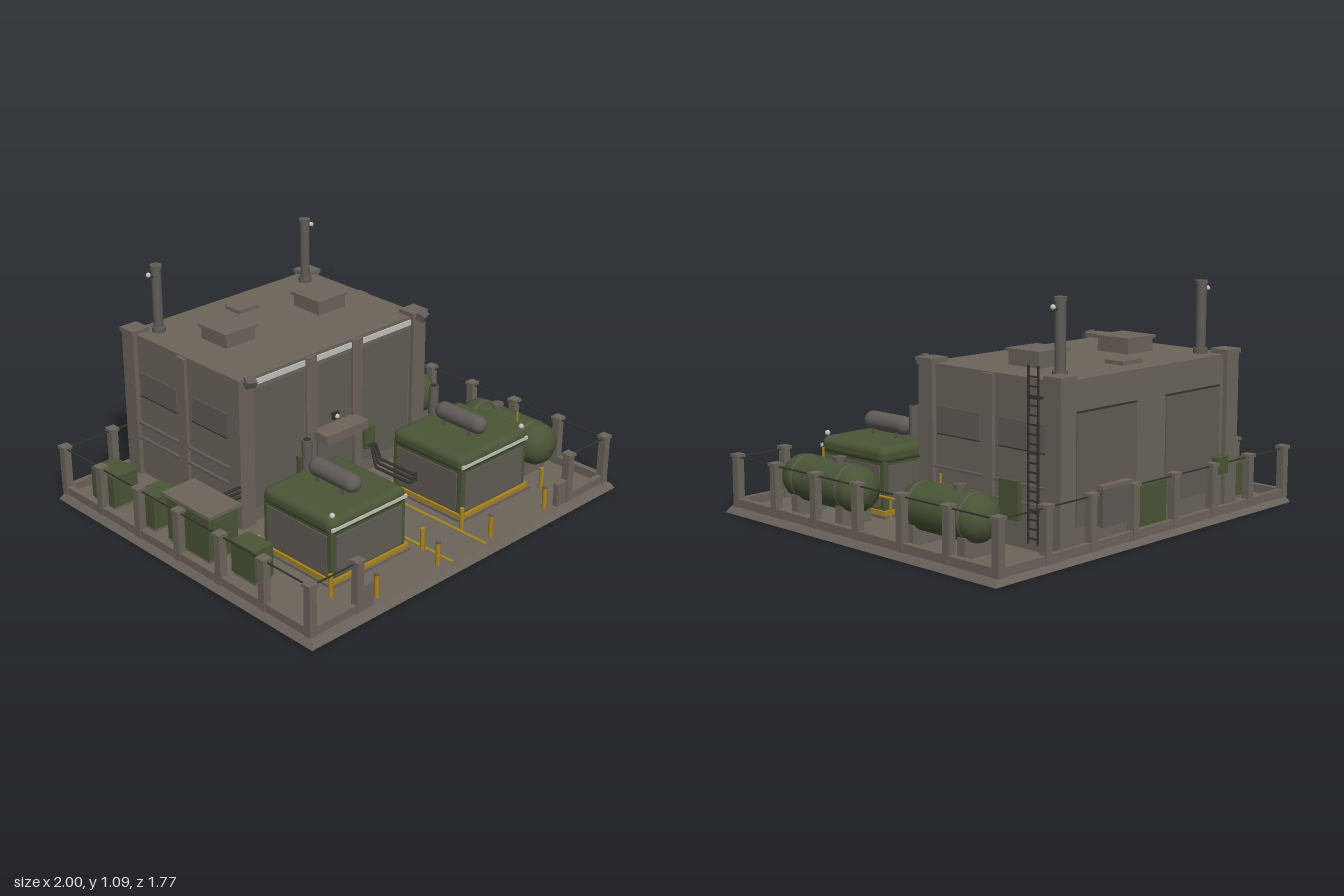
import * as THREE from 'three';
import { RoundedBoxGeometry } from 'three/addons/geometries/RoundedBoxGeometry.js';

const mat = (name, color) => Object.assign(new THREE.MeshStandardMaterial({ color }), { name });
const concrete = mat('concrete', 0x6b645b);
const panel = mat('panel grey', 0x625c55);
const steel = mat('steel', 0x605b55);
const dark = mat('dark metal', 0x35332f);
const green = mat('olive green', 0x4a5536);
const yellow = mat('safety yellow', 0xa88420);
const light = mat('light grey', 0xc2c2bd);

export function createModel() {
  const root = new THREE.Group();
  root.name = 'generatorStation';

  const add = (name, geo, m, parent = root) => {
    const mesh = new THREE.Mesh(geo, m);
    mesh.name = name;
    parent.add(mesh);
    return mesh;
  };
  // Box given by its limits on each axis
  const box = (name, m, x0, x1, y0, y1, z0, z1, parent) => {
    const mesh = add(name, new THREE.BoxGeometry(x1 - x0, y1 - y0, z1 - z0), m, parent);
    mesh.position.set((x0 + x1) / 2, (y0 + y1) / 2, (z0 + z1) / 2);
    return mesh;
  };
  // Box mirrored to both sides of x = 0
  const pair = (name, m, x0, x1, y0, y1, z0, z1) => {
    box(name, m, x0, x1, y0, y1, z0, z1);
    box(name, m, -x1, -x0, y0, y1, z0, z1);
  };
  const cyl = (name, m, r, x, y0, y1, z, parent, seg = 16) => {
    const mesh = add(name, new THREE.CylinderGeometry(r, r, y1 - y0, seg), m, parent);
    mesh.position.set(x, (y0 + y1) / 2, z);
    return mesh;
  };
  const ball = (name, m, r, x, y, z, parent) =>
    add(name, new THREE.SphereGeometry(r, 12, 8), m, parent).position.set(x, y, z);
  // Pipe with straight runs between points
  const pipe = (name, m, r, pts) => {
    const path = new THREE.CurvePath();
    const v = pts.map(p => new THREE.Vector3(...p));
    for (let i = 1; i < v.length; i++) path.add(new THREE.LineCurve3(v[i - 1], v[i]));
    add(name, new THREE.TubeGeometry(path, 12 * (v.length - 1), r, 8), m);
  };

  // Base slab with sloping edge
  const slab = new THREE.BoxGeometry(2, 0.03, 1.77);
  const sp = slab.attributes.position;
  for (let i = 0; i < sp.count; i++) {
    if (sp.getY(i) > 0) sp.setXYZ(i, sp.getX(i) * 0.98, sp.getY(i), sp.getZ(i) * 0.98);
  }
  slab.computeVertexNormals();
  add('baseSlab', slab, concrete).position.y = 0.015;
  pair('laneStripe', yellow, 0.104, 0.119, 0.03, 0.034, 0.06, 0.84);

  // Perimeter fence: kerbs, posts and wires
  const post = (x, z) => {
    box('fencePost', concrete, x - 0.019, x + 0.019, 0.03, 0.27, z - 0.019, z + 0.019);
    box('fencePostCap', concrete, x - 0.025, x + 0.025, 0.265, 0.28, z - 0.025, z + 0.025);
  };
  for (const s of [-1, 1]) {
    for (let i = 0; i < 7; i++) post(s * 0.96, -0.86 + i * 0.282);
    post(s * 0.69, 0.832);
  }
  for (let i = 1; i < 7; i++) post(-0.96 + i * 0.2743, -0.86);
  pair('sideKerb', concrete, 0.945, 0.975, 0.03, 0.07, -0.86, 0.832);
  pair('sideWire', dark, 0.957, 0.963, 0.262, 0.268, -0.86, 0.832);
  box('backKerb', concrete, -0.96, 0.96, 0.03, 0.07, -0.875, -0.85);
  box('backWire', dark, -0.96, 0.96, 0.262, 0.268, -0.863, -0.857);
  pair('frontKerb', concrete, 0.69, 0.96, 0.03, 0.07, 0.82, 0.845);
  pair('frontWire', dark, 0.69, 0.96, 0.262, 0.268, 0.829, 0.835);
  pair('gatePier', concrete, 0.605, 0.69, 0.03, 0.145, 0.82, 0.845);

  // Main building
  box('buildingBody', concrete, -0.575, 0.575, 0.03, 0.76, -0.835, -0.035);
  for (const s of [-1, 1]) for (const z of [-0.813, -0.055]) {
    const x = s * 0.555;
    box('cornerPillar', concrete, x - 0.043, x + 0.043, 0.03, 0.765, z - 0.043, z + 0.043);
    box('cornerCap', concrete, x - 0.049, x + 0.049, 0.762, 0.782, z - 0.049, z + 0.049);
  }
  pair('frontPilaster', concrete, 0.115, 0.18, 0.03, 0.755, -0.04, -0.022);
  pair('sidePilaster', concrete, 0.57, 0.592, 0.03, 0.755, -0.46, -0.4);
  pair('frontLightStrip', light, 0.182, 0.51, 0.718, 0.745, -0.038, -0.028);
  box('middleLightStrip', light, -0.113, 0.113, 0.718, 0.745, -0.038, -0.028);
  pair('frontPanel', panel, 0.19, 0.5, 0.1, 0.7, -0.036, -0.03);
  box('middlePanel', panel, -0.108, 0.108, 0.38, 0.7, -0.036, -0.03);
  for (const [a, b] of [[-0.37, -0.11], [-0.75, -0.485]]) {
    pair('sidePanel', panel, 0.574, 0.58, 0.455, 0.575, a, b);
    pair('sidePanelSill', dark, 0.574, 0.582, 0.45, 0.455, a, b);
  }
  for (const y of [0.22, 0.3]) pair('sideRail', steel, 0.575, 0.59, y, y + 0.012, -0.77, -0.1);
  pair('backPanel', panel, 0.1, 0.48, 0.14, 0.62, -0.841, -0.834);
  pair('backPanelTrim', dark, 0.1, 0.48, 0.62, 0.627, -0.843, -0.834);

  // Entrance door and canopy
  box('entranceDoor', panel, -0.11, 0.11, 0.03, 0.325, -0.036, -0.02);
  pair('doorFrame', steel, 0.11, 0.122, 0.03, 0.325, -0.036, -0.012);
  box('entranceCanopy', concrete, -0.135, 0.135, 0.325, 0.37, -0.035, 0.065);
  box('doorLampHousing', dark, -0.018, 0.018, 0.39, 0.426, -0.036, -0.012);
  ball('doorLamp', light, 0.012, 0, 0.408, -0.01);

  // Roof vents, hatch, floodlights and stacks
  for (const s of [-1, 1]) {
    const x = s * 0.292;
    box('roofVent', concrete, x - 0.087, x + 0.087, 0.76, 0.82, -0.53, -0.35);
    box('roofVentLid', concrete, x - 0.098, x + 0.098, 0.82, 0.834, -0.54, -0.34);
    const c = s * 0.47, z = -0.735;
    cyl('stack', steel, 0.024, c, 0.76, 1.09, z);
    cyl('stackFoot', steel, 0.033, c, 0.76, 0.785, z);
    cyl('stackRim', steel, 0.029, c, 1.075, 1.092, z);
    box('stackLampArm', dark, c + s * 0.03 - 0.015, c + s * 0.03 + 0.015, 1.035, 1.045, z - 0.008, z + 0.008);
    ball('stackLamp', light, 0.012, c + s * 0.045, 1.052, z);
    const flood = box('floodlight', steel, -0.025, 0.025, -0.018, 0.018, -0.022, 0.022);
    flood.position.set(s * 0.55, 0.765, 0.01);
    flood.rotation.set(0.45, s * 0.3, 0);
  }
  box('roofHatch', concrete, -0.065, 0.065, 0.76, 0.778, -0.73, -0.625);

  // Ladder on the left wall
  for (const z of [-0.74, -0.685]) box('ladderRail', dark, 0.603, 0.611, 0.07, 0.82, z - 0.004, z + 0.004);
  for (let i = 0; i < 18; i++) {
    const y = 0.09 + i * 0.04;
    box('ladderRung', dark, 0.604, 0.61, y, y + 0.007, -0.74, -0.685);
  }
  for (const y of [0.2, 0.68]) box('ladderBracket', dark, 0.57, 0.607, y, y + 0.01, -0.74, -0.685);

  // Wall-mounted cabinets
  box('sideCabinet', green, 0.575, 0.604, 0.15, 0.32, -0.62, -0.51);
  box('backSwitchBox', green, -0.51, -0.43, 0.22, 0.3, -0.875, -0.835);
  box('backDoor', green, -0.1, 0.09, 0.04, 0.25, -0.848, -0.83);
  box('backCooler', steel, 0.17, 0.35, 0.12, 0.29, -0.872, -0.83);
  box('backCoolerLid', concrete, 0.16, 0.36, 0.285, 0.3, -0.878, -0.83);
  pair('frontJunctionBox', green, 0.18, 0.245, 0.17, 0.28, -0.035, 0.0);

  // Generators
  for (const s of [-1, 1]) {
    const g = new THREE.Group();
    g.name = 'generator';
    g.position.set(s * 0.41, 0, 0.4);
    root.add(g);
    box('plinth', concrete, -0.245, 0.245, 0.03, 0.042, -0.24, 0.24, g);
    for (const z of [-0.225, 0.225]) box('skidRail', yellow, -0.235, 0.235, 0.042, 0.062, z - 0.007, z + 0.007, g);
    for (const x of [-0.23, 0.23]) box('skidRail', yellow, x - 0.007, x + 0.007, 0.042, 0.062, -0.225, 0.225, g);
    box('housing', green, -0.225, 0.225, 0.045, 0.3, -0.215, 0.215, g);
    const hood = add('hood', new RoundedBoxGeometry(0.465, 0.085, 0.445, 4, 0.035), green, g);
    hood.position.y = 0.308;
    box('frontDoor', panel, -0.2, 0.2, 0.07, 0.265, 0.214, 0.221, g);
    box('backGrille', panel, -0.2, 0.2, 0.07, 0.265, -0.221, -0.214, g);
    for (const x of [-0.226, 0.226]) box('sideDoor', panel, x - 0.004, x + 0.004, 0.07, 0.265, -0.19, 0.19, g);
    box('lightStrip', light, -0.228, 0.228, 0.296, 0.312, 0.217, 0.226, g);
    ball('cornerLamp', light, 0.013, s * 0.205, 0.362, 0.2, g);
    // Silencer lying on the hood
    const can = add('silencer', new THREE.CapsuleGeometry(0.044, 0.21, 6, 18), steel, g);
    can.rotation.x = Math.PI / 2;
    can.position.set(0, 0.408, 0.003);
    for (const z of [-0.08, 0.08]) box('silencerFoot', steel, -0.03, 0.03, 0.34, 0.38, z - 0.012, z + 0.012, g);
    cyl('exhaustPipe', steel, 0.024, 0, 0.37, 0.515, -0.175, g);
    cyl('exhaustMouth', dark, 0.018, 0, 0.514, 0.517, -0.175, g);
    // Cables from the building to the housing
    for (let k = 0; k < 3; k++) {
      const o = k * 0.016;
      pipe('powerCable', dark, 0.007, [[s * (0.2 + o), 0.19, -0.01], [s * (0.2 + o), 0.19, 0.02],
        [s * (0.13 + o), 0.14 + o, 0.12], [s * (0.13 + o), 0.14 + o, 0.34], [s * 0.2, 0.14 + o, 0.34]]);
    }
  }

  // Fuel tanks
  const tank = (z, length) => {
    const g = new THREE.Group();
    g.name = 'fuelTank';
    g.position.set(0.795, 0.192, z);
    root.add(g);
    const h = length / 2;
    const profile = [[0, -h], [0.045, -h + 0.008], [0.08, -h + 0.028], [0.1, -h + 0.06], [0.106, -h + 0.1]];
    const pts = [...profile, ...profile.slice().reverse().map(([r, y]) => [r, -y])];
    const shell = add('tankShell', new THREE.LatheGeometry(pts.map(p => new THREE.Vector2(...p)), 28), green, g);
    shell.rotation.x = Math.PI / 2;
    for (const dz of [-0.155, 0.155]) {
      const band = add('tankBand', new THREE.CylinderGeometry(0.1075, 0.1075, 0.012, 28), steel, g);
      band.rotation.x = Math.PI / 2;
      band.position.z = dz;
      box('tankSaddle', concrete, -0.085, 0.085, -0.162, -0.07, dz - 0.022, dz + 0.022, g);
    }
    cyl('manhole', steel, 0.024, 0, 0.09, 0.122, -0.065, g);
    cyl('manholeLid', steel, 0.03, 0, 0.118, 0.128, -0.065, g);
    cyl('ventPipe', yellow, 0.006, -0.035, 0.09, 0.142, 0.09, g, 8);
  };
  tank(-0.41, 0.51);
  tank(0.365, 0.55);
  pipe('fuelPipe', yellow, 0.007, [[0.72, 0.13, -0.41], [0.645, 0.13, -0.41], [0.645, 0.13, 0.36], [0.72, 0.13, 0.36]]);
  for (const z of [-0.28, -0.06, 0.13]) cyl('fuelPipeStand', yellow, 0.006, 0.645, 0.03, 0.13, z, root, 8);

  // Cabinets along the right edge
  const cabinet = (x0, x1, z0, z1, top) => {
    box('cabinet', green, x0, x1, 0.045, top, z0, z1);
    box('cabinetFoot', concrete, x0 + 0.005, x1 - 0.005, 0.03, 0.045, z0 + 0.005, z1 - 0.005);
    box('cabinetDoor', green, x0 + 0.02, x1 - 0.02, 0.06, top - 0.025, z1, z1 + 0.005);
  };
  cabinet(-0.91, -0.77, -0.73, -0.56, 0.2);
  cabinet(-0.9, -0.75, -0.4, -0.27, 0.2);
  cabinet(-0.877, -0.77, 0.24, 0.395, 0.2);
  cabinet(-0.9, -0.735, -0.17, 0.12, 0.262);
  box('shelterRoof', concrete, -0.912, -0.725, 0.262, 0.278, -0.19, 0.14);
  for (const y of [0.2, 0.225, 0.25]) pipe('wallCable', dark, 0.007, [[-0.74, y, -0.02], [-0.57, y, -0.02]]);

  // Bollards
  const spots = [[0.555, 0.81], [0.175, 0.81], [0.13, 0.675], [0.695, 0.675]];
  for (const [x, z] of [...spots, ...spots.map(([x, z]) => [-x, z]), [-0.7, 0.22], [-0.7, -0.46], [0.69, -0.46]]) {
    cyl('bollard', yellow, 0.011, x, 0.03, 0.14, z, root, 10);
    if (z > 0.8) cyl('bollardCap', steel, 0.0115, x, 0.138, 0.144, z, root, 10);
  }
  return root;
}
